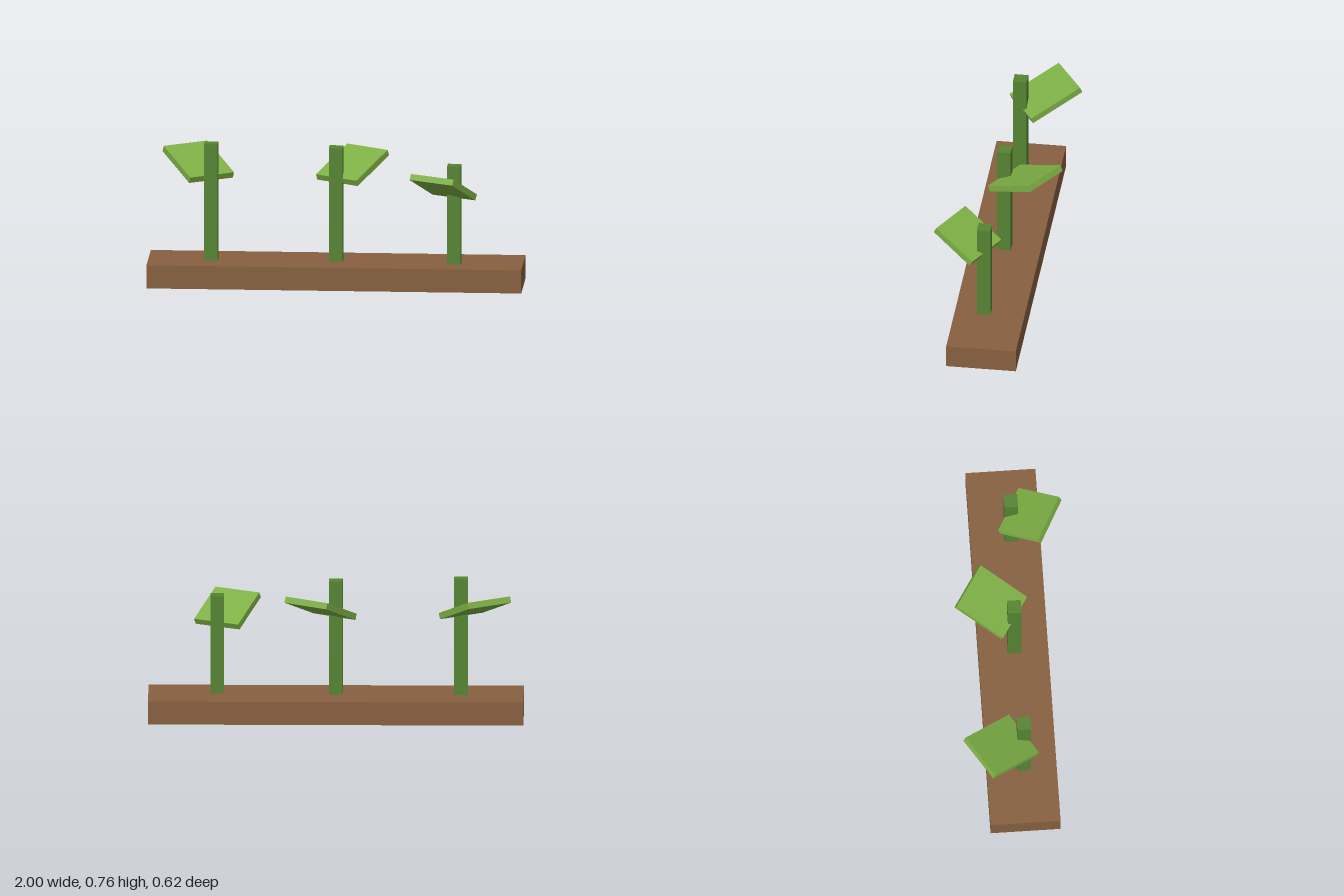
import * as THREE from 'three';

function material(name, color, side = THREE.FrontSide) {
  const m = new THREE.MeshStandardMaterial({ color, side });
  m.name = name;
  return m;
}

export function createModel() {
  const model = new THREE.Group();
  model.name = 'plantBed';

  const soil = material('soilBrown', 0x87603f, THREE.DoubleSide);
  const stemGreen = material('stemGreen', 0x558432);
  const leafGreen = material('leafGreen', 0x7eb045);

  function addBox(name, size, position, mat) {
    const mesh = new THREE.Mesh(new THREE.BoxGeometry(...size), mat);
    mesh.name = name;
    mesh.position.set(...position);
    model.add(mesh);
    return mesh;
  }

  // Hollow bed: a box without its bottom face (group 3)
  const baseHeight = 0.126;
  const bed = addBox('bed', [2, baseHeight, 0.374], [0, baseHeight / 2, 0.002], soil);
  const index = Array.from(bed.geometry.index.array);
  index.splice(18, 6);
  bed.geometry.setIndex(index);
  bed.geometry.clearGroups();

  // Each sprout: a square stem and one tilted leaf rising along its yaw direction
  const sprouts = [
    { name: 'right', stem: [-0.666, 0.76, 0.015], leaf: [-0.742, 0.628, -0.111], length: 0.312, yaw: -147.1, tilt: 22 },
    { name: 'middle', stem: [0.001, 0.747, 0.009], leaf: [0.081, 0.623, -0.111], length: 0.306, yaw: 147.3, tilt: 22.5 },
    { name: 'left', stem: [0.633, 0.66, 0.033], leaf: [0.58, 0.562, 0.131], length: 0.267, yaw: -28, tilt: 28 },
  ];
  for (const { name, stem: [x, top, z], leaf, length, yaw, tilt } of sprouts) {
    const height = top - baseHeight;
    addBox(name + 'Stem', [0.073, height, 0.073], [x, baseHeight + height / 2, z], stemGreen);
    const blade = addBox(name + 'Leaf', [0.267, 0.034, length], leaf, leafGreen);
    blade.rotation.set(-THREE.MathUtils.degToRad(tilt), THREE.MathUtils.degToRad(yaw), 0, 'YXZ');
  }

  return model;
}
